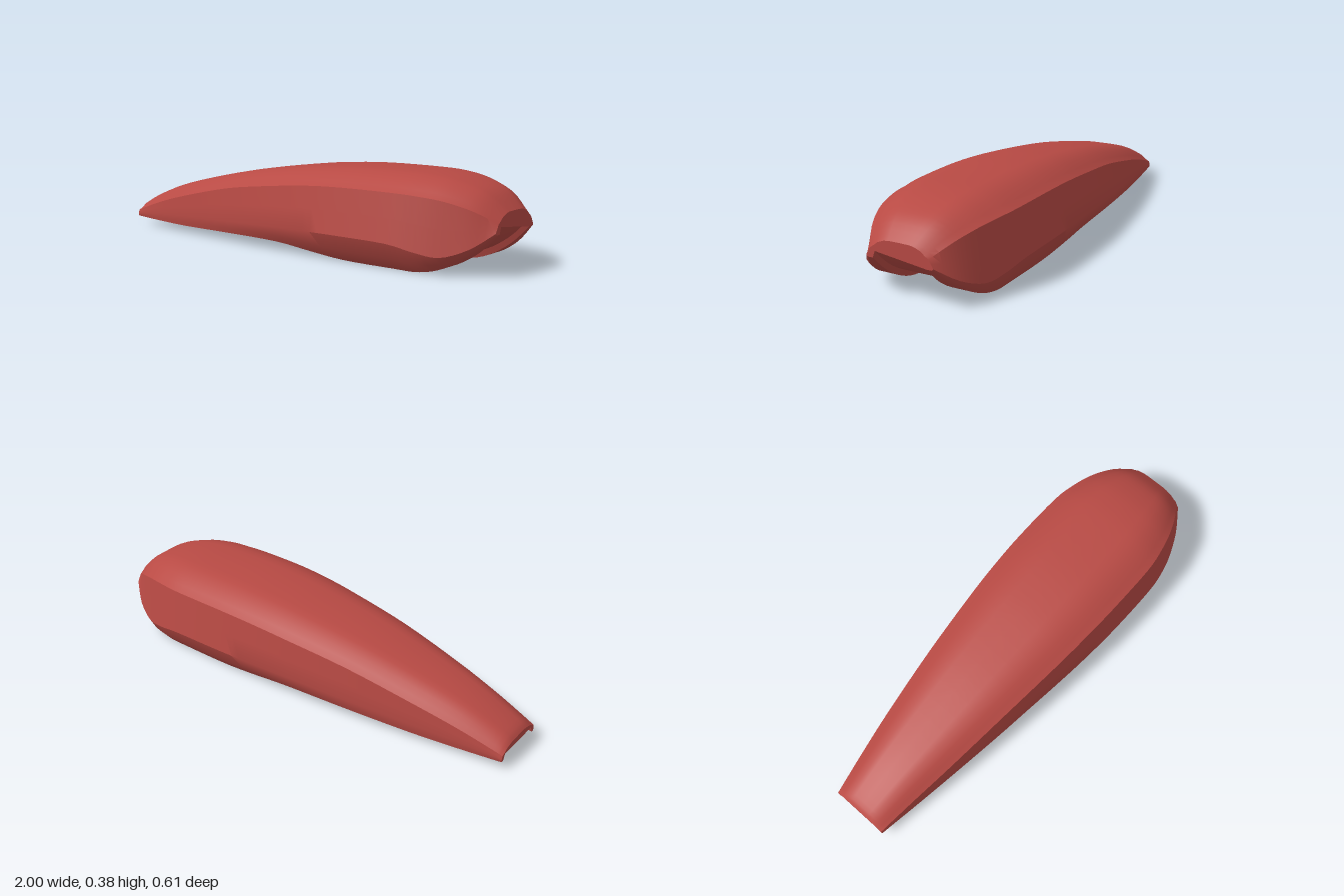
import * as THREE from 'three';
import { toCreasedNormals } from 'three/addons/utils/BufferGeometryUtils.js';

// Stations along the shell: x, roof height, shoulder z/y, widest z/y, underside edge z, underside y
const STATIONS = [
  [-1.00, 0.095, 0.128, 0.065, 0.133, 0.050, 0.130, 0.037],
  [-0.96, 0.125, 0.134, 0.080, 0.139, 0.055, 0.136, 0.036],
  [-0.80, 0.190, 0.157, 0.130, 0.164, 0.070, 0.160, 0.034],
  [-0.60, 0.245, 0.185, 0.180, 0.195, 0.080, 0.188, 0.034],
  [-0.30, 0.308, 0.220, 0.242, 0.238, 0.095, 0.225, 0.041],
  [0.00, 0.350, 0.250, 0.280, 0.275, 0.108, 0.248, 0.041],
  [0.18, 0.367, 0.263, 0.297, 0.292, 0.112, 0.248, 0.023],
  [0.36, 0.376, 0.270, 0.305, 0.302, 0.114, 0.242, 0.005],
  [0.60, 0.376, 0.269, 0.305, 0.302, 0.110, 0.240, 0.002],
  [0.72, 0.369, 0.252, 0.298, 0.286, 0.088, 0.236, 0.003],
  [0.82, 0.351, 0.225, 0.284, 0.258, 0.075, 0.220, 0.028],
  [0.92, 0.313, 0.182, 0.252, 0.212, 0.110, 0.185, 0.088],
  [1.00, 0.245, 0.130, 0.205, 0.150, 0.172, 0.142, 0.165],
];

// Smoothly interpolated station at a fractional index
function stationAt(t) {
  const last = STATIONS.length - 1;
  const i = Math.min(Math.floor(t), last - 1);
  const f = t - i;
  const at = (k) => STATIONS[Math.max(0, Math.min(last, k))];
  return STATIONS[i].map((b, c) => {
    const a = at(i - 1)[c], d = at(i + 1)[c], e = at(i + 2)[c];
    const m0 = (d - a) / 2, m1 = (e - b) / 2;
    return b + f * (m0 + f * (3 * (d - b) - 2 * m0 - m1 + f * (2 * (b - d) + m0 + m1)));
  });
}

// Closed cross-section as [z, y]: roof, side, rail, recessed channel, then the mirrored half
const ROOF = [[0, 1], [0.37, 0.98], [0.52, 0.9], [0.74, 0.63], [0.87, 0.28], [1, 0]];
function section([, top, sz, sy, wz, wy, bz, by]) {
  const half = ROOF.map(([u, v]) => [u * sz, sy + v * (top - sy)]);
  half.push(
    [(sz + wz) / 2, (sy + wy) / 2],
    [wz, wy],
    [wz + (bz - wz) * 0.4, wy + (by - wy) * 0.58],
    [bz, by],
    [Math.min(0.12, bz - 0.012), by],
    [Math.min(0.11, bz - 0.022), by + 0.028],
  );
  return [...half, ...half.slice(1).reverse().map(([z, y]) => [-z, y])];
}

// Flat end face, filled from a section outline
function addCap(positions, x, outline, facesFront) {
  const contour = outline.map(([z, y]) => new THREE.Vector2(-z, y));
  for (const face of THREE.ShapeUtils.triangulateShape(contour, [])) {
    const order = facesFront ? face : [face[0], face[2], face[1]];
    for (const k of order) positions.push(x, outline[k][1], outline[k][0]);
  }
}

function shellGeometry() {
  const steps = (STATIONS.length - 1) * 4;
  const rings = [];
  for (let i = 0; i <= steps; i++) {
    const s = stationAt(i / 4);
    rings.push({ x: s[0], pts: section(s) });
  }
  const positions = [];
  const n = rings[0].pts.length;
  const put = (r, j) => positions.push(r.x, r.pts[j % n][1], r.pts[j % n][0]);
  for (let i = 0; i < steps; i++) {
    const a = rings[i], b = rings[i + 1];
    for (let j = 0; j < n; j++) {
      put(a, j); put(a, j + 1); put(b, j + 1);
      put(a, j); put(b, j + 1); put(b, j);
    }
  }
  addCap(positions, rings[0].x, rings[0].pts, false);
  // The nose face covers one corner of the channel
  const nose = rings[steps];
  addCap(positions, nose.x, nose.pts.filter((p, j) => j !== ROOF.length + 6), true);

  const geometry = new THREE.BufferGeometry();
  geometry.setAttribute('position', new THREE.Float32BufferAttribute(positions, 3));
  return toCreasedNormals(geometry, 0.5);
}

export function createModel() {
  const red = new THREE.MeshStandardMaterial({ color: 0xb84a44, side: THREE.DoubleSide });
  red.name = 'red';
  const shell = new THREE.Mesh(shellGeometry(), red);
  shell.name = 'shellCover';
  const group = new THREE.Group();
  group.name = 'taperedCover';
  group.add(shell);
  return group;
}
